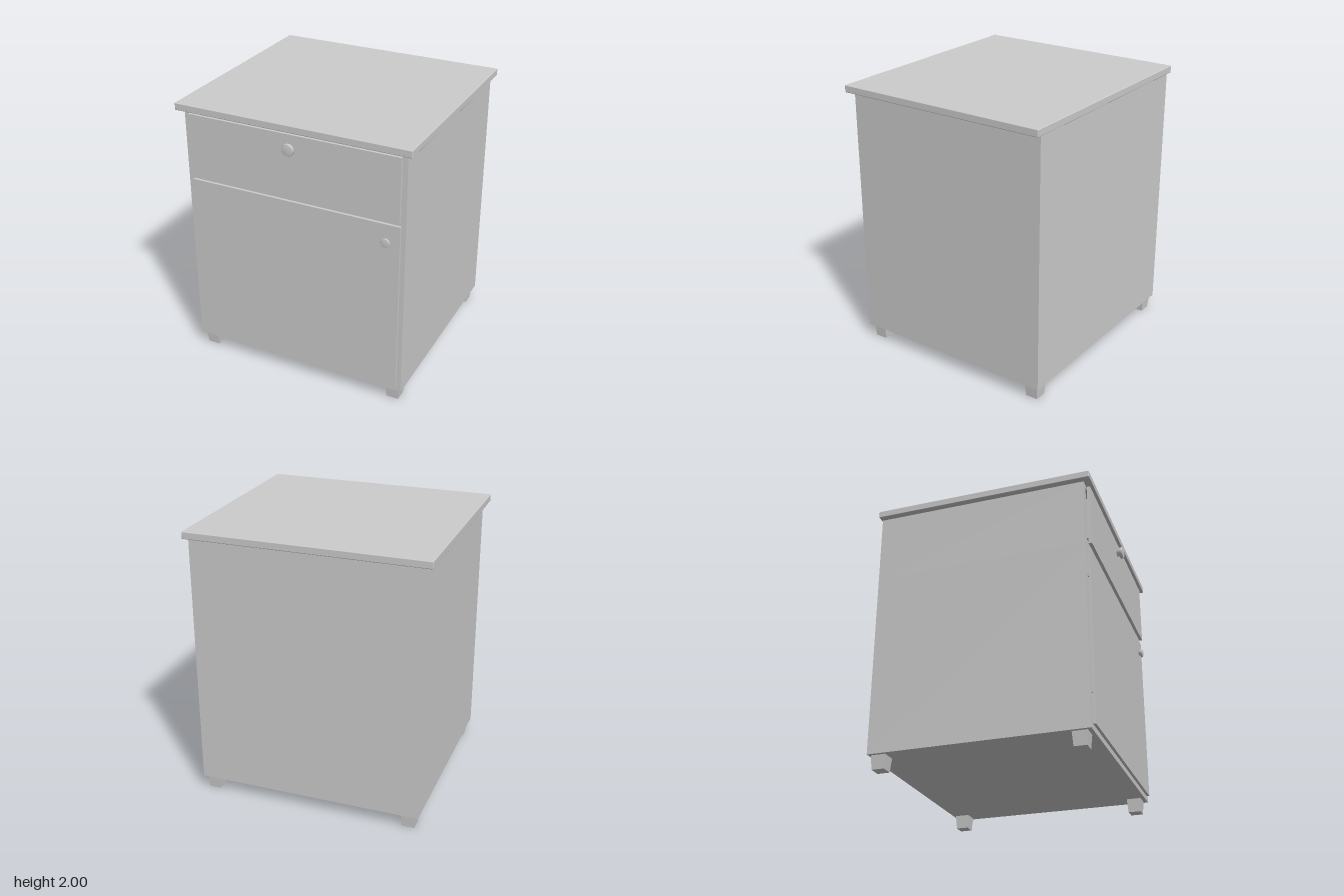
import * as THREE from 'three';
import { RoundedBoxGeometry } from 'three/addons/geometries/RoundedBoxGeometry.js';

const material = new THREE.MeshStandardMaterial({ color: 0xcccccc });

function add(parent, name, geometry, x = 0, y = 0, z = 0) {
  const mesh = new THREE.Mesh(geometry, material);
  mesh.name = name;
  mesh.position.set(x, y, z);
  parent.add(mesh);
  return mesh;
}

// Box given by its two extremes on each axis
function box(parent, name, [x0, x1], [y0, y1], [z0, z1]) {
  return add(parent, name, new THREE.BoxGeometry(x1 - x0, y1 - y0, z1 - z0),
    (x0 + x1) / 2, (y0 + y1) / 2, (z0 + z1) / 2);
}

function rectangle(path, x0, y0, x1, y1) {
  path.moveTo(x0, y0);
  path.lineTo(x1, y0);
  path.lineTo(x1, y1);
  path.lineTo(x0, y1);
  path.closePath();
  return path;
}

// Open-fronted carcass section running from the back panel to the front
function carcass(parent, name, y0, y1, floor, ceiling) {
  const shape = rectangle(new THREE.Shape(), -0.83, y0, 0.83, y1);
  shape.holes.push(rectangle(new THREE.Path(), -0.78, y0 + floor, 0.78, y1 - ceiling));
  const geometry = new THREE.ExtrudeGeometry(shape, { depth: 1.54, bevelEnabled: false });
  add(parent, name, geometry, 0, 0, -0.8);
  box(parent, name + 'Back', [-0.83, 0.83], [y0, y1], [-0.81, -0.8]);
}

// Turned knob: narrow stem flaring into a softly rounded disc
function knob(parent, name, x, y, z, radius, length) {
  const profile = [[0, 0], [0.55, 0], [0.5, 0.4], [0.88, 0.45], [1, 0.55], [1, 0.85], [0.9, 1], [0, 1]]
    .map(([r, h]) => new THREE.Vector2(r * radius, h * length));
  const geometry = new THREE.LatheGeometry(profile, 32);
  geometry.rotateX(Math.PI / 2);
  add(parent, name, geometry, x, y, z);
}

export function createModel() {
  const cabinet = new THREE.Group();
  cabinet.name = 'bedsideCabinet';

  // Top slab and the two stacked carcass sections
  add(cabinet, 'top', new RoundedBoxGeometry(1.75, 0.053, 1.61, 2, 0.006), 0, 1.9735, -0.015);
  carcass(cabinet, 'drawerCase', 1.447, 1.947, 0.05, 0.02);
  carcass(cabinet, 'cupboardCase', 0.1, 1.447, 0.05, 0.05);

  // Drawer: tray inside the case, with an overlaid front
  const drawer = new THREE.Group();
  drawer.name = 'drawer';
  cabinet.add(drawer);
  box(drawer, 'drawerFront', [-0.783, 0.797], [1.465, 1.93], [0.75, 0.773]);
  box(drawer, 'drawerBottom', [-0.74, 0.74], [1.52, 1.54], [-0.7, 0.75]);
  for (const side of [-1, 1]) {
    const x = side * 0.75;
    box(drawer, 'drawerSide', [x - 0.015, x + 0.015], [1.52, 1.84], [-0.7, 0.75]);
  }
  for (const z of [-0.7, 0.73]) box(drawer, 'drawerEnd', [-0.74, 0.74], [1.54, 1.84], [z, z + 0.02]);
  knob(drawer, 'drawerKnob', 0.008, 1.835, 0.773, 0.044, 0.047);

  // Door with knob, and its two hinges
  const door = new THREE.Group();
  door.name = 'door';
  cabinet.add(door);
  box(door, 'doorPanel', [-0.787, 0.797], [0.14, 1.43], [0.74, 0.76]);
  knob(door, 'doorKnob', 0.703, 1.304, 0.76, 0.033, 0.031);
  for (const y of [0.41, 1.26]) {
    box(door, 'hinge', [-0.805, -0.775], [y - 0.06, y + 0.06], [0.735, 0.747]);
  }

  // Four square feet, tapering towards the ground
  const foot = new THREE.CylinderGeometry(0.053 * Math.SQRT2, 0.045 * Math.SQRT2, 0.1, 4, 1, false, Math.PI / 4)
    .toNonIndexed();
  foot.computeVertexNormals();
  for (const x of [-0.753, 0.753]) {
    for (const z of [-0.738, 0.658]) add(cabinet, 'foot', foot, x, 0.05, z);
  }

  return cabinet;
}
